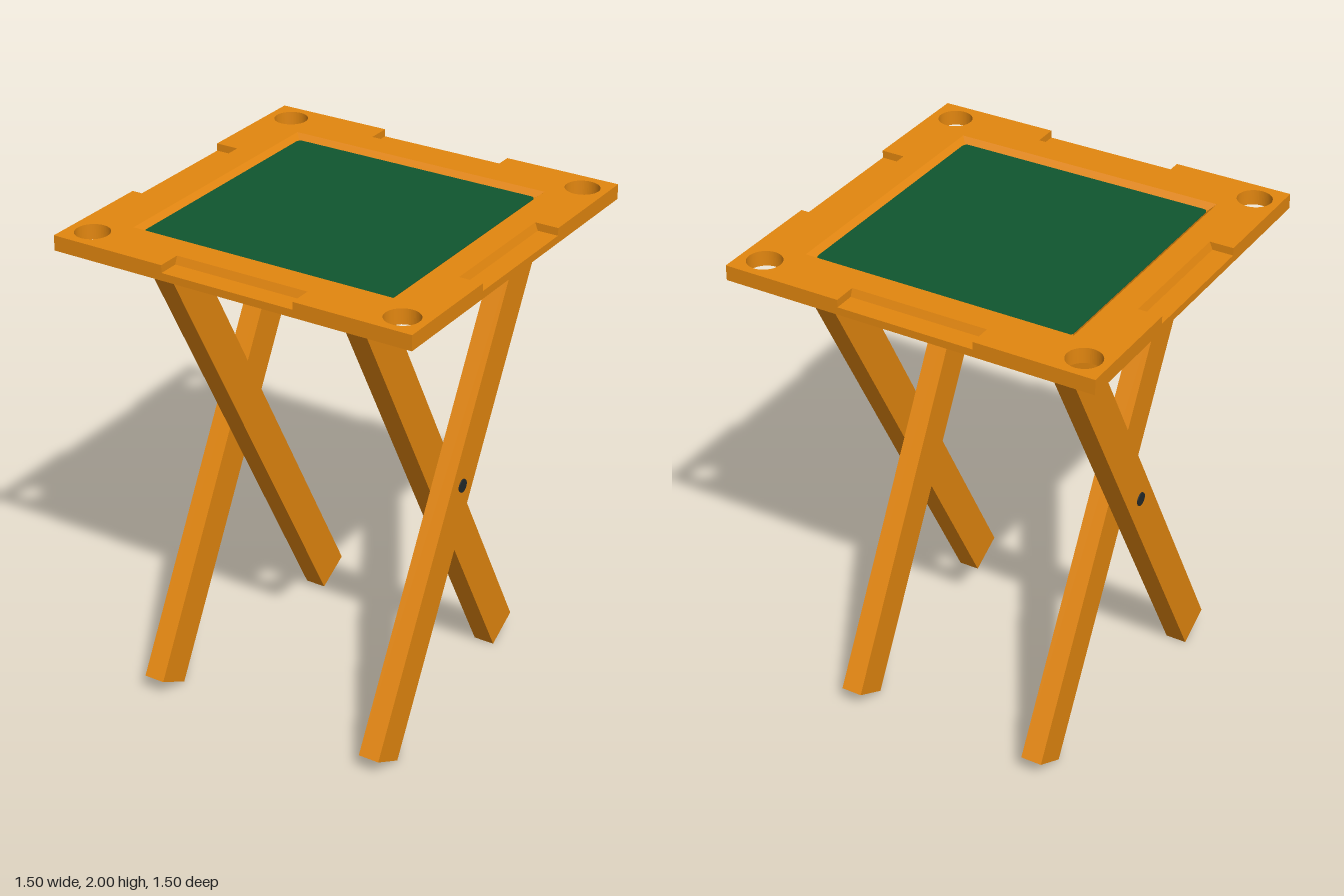
import * as THREE from 'three';

const wood = new THREE.MeshStandardMaterial({ color: 0xe2860f });
const woodThin = new THREE.MeshStandardMaterial({ color: 0xe2860f, side: THREE.DoubleSide });
const felt = new THREE.MeshStandardMaterial({ color: 0x10562f });
const metal = new THREE.MeshStandardMaterial({ color: 0x22282a });

const HALF = 0.75;          // half width of the top
const NOTCH = 0.275;        // half length of an edge notch
const NOTCH_IN = 0.655;     // inner line of an edge notch
const BOTTOM = 1.94, STEP = 1.97, TOP = 2;
const RX = 0.55, RZ = 0.54; // half size of the centre recess

function add(parent, name, geometry, material, x = 0, y = 0, z = 0) {
  const mesh = new THREE.Mesh(geometry, material);
  mesh.name = name;
  mesh.position.set(x, y, z);
  parent.add(mesh);
  return mesh;
}

// Flat board from an outline, lying in the xz plane and rising from its origin
function board(shape, height) {
  const g = new THREE.ExtrudeGeometry(shape, { depth: height, bevelEnabled: false, curveSegments: 32 });
  return g.rotateX(-Math.PI / 2);
}

// Frame outline with the centre opening and four corner cup holes
function frameShape(notched) {
  const side = notched
    ? [[-HALF, -HALF], [-NOTCH, -HALF], [-NOTCH, -NOTCH_IN], [NOTCH, -NOTCH_IN], [NOTCH, -HALF]]
    : [[-HALF, -HALF]];
  const points = [];
  for (let i = 0; i < 4; i++) {
    for (const [x, y] of side) {
      points.push(new THREE.Vector2(x, y).rotateAround(new THREE.Vector2(), i * Math.PI / 2));
    }
  }
  const shape = new THREE.Shape(points);
  shape.holes.push(new THREE.Path([[-RX, -RZ], [-RX, RZ], [RX, RZ], [RX, -RZ]].map(p => new THREE.Vector2(...p))));
  for (const x of [-1, 1]) for (const y of [-1, 1]) {
    shape.holes.push(new THREE.Path().absarc(x * 0.652, y * 0.65, 0.067, 0, Math.PI * 2, true));
  }
  return shape;
}

function roundedRect(a, b, r) {
  const s = new THREE.Shape();
  s.absarc(a - r, b - r, r, 0, Math.PI / 2);
  s.absarc(-a + r, b - r, r, Math.PI / 2, Math.PI);
  s.absarc(-a + r, -b + r, r, Math.PI, Math.PI * 1.5);
  s.absarc(a - r, -b + r, r, Math.PI * 1.5, Math.PI * 2);
  return s;
}

function createTableTop() {
  const top = new THREE.Group();
  top.name = 'tableTop';
  add(top, 'lowerFrame', board(frameShape(false), STEP - BOTTOM), wood, 0, BOTTOM);
  add(top, 'upperFrame', board(frameShape(true), TOP - STEP), wood, 0, STEP);

  // Slanted inner face of each edge notch
  const wedge = new THREE.Shape([[0, 0], [0.012, 0], [0, TOP - STEP]].map(p => new THREE.Vector2(...p)));
  for (let i = 0; i < 4; i++) {
    const g = new THREE.ExtrudeGeometry(wedge, { depth: NOTCH * 2, bevelEnabled: false });
    g.translate(NOTCH_IN, STEP, -NOTCH).rotateY(i * Math.PI / 2);
    add(top, 'notchSlope', g, wood);
  }

  // Recessed centre panel, its slanted rim and the felt
  add(top, 'centrePanel', new THREE.BoxGeometry(RX * 2, 0.024, RZ * 2), wood, 0, 1.967);
  const rim = new THREE.CylinderGeometry(RX * Math.SQRT2, 0.527 * Math.SQRT2, 0.021, 4, 1, true).toNonIndexed();
  rim.rotateY(Math.PI / 4).scale(1, 1, RZ / RX);
  rim.computeVertexNormals();
  add(top, 'recessRim', rim, woodThin, 0, 1.9895);
  add(top, 'felt', board(roundedRect(0.527, 0.515, 0.02), 0.003), felt, 0, 1.978);
  return top;
}

function createLegs() {
  const legs = new THREE.Group();
  legs.name = 'legs';
  legs.position.x = -0.0075;
  const tilt = Math.atan2(1.04, 1.9);
  for (const s of [-1, 1]) {
    // Crossed pair: the outer leg stands forward, the inner leg backward
    const pair = [['outerLeg', 0.499, -tilt], ['innerLeg', 0.4115, tilt]];
    for (const [name, x, angle] of pair) {
      const leg = add(legs, name, new THREE.BoxGeometry(0.0865, 2.166, 0.159), wood, s * x, 0.99, 0);
      leg.rotation.x = angle;
    }
    // Pivot pin through the crossing
    const pin = add(legs, 'pivotPin', new THREE.CylinderGeometry(0.027, 0.027, 0.146, 24), metal, s * 0.474, 0.995, 0);
    pin.rotation.z = Math.PI / 2;
  }
  return legs;
}

export function createModel() {
  const model = new THREE.Group();
  model.name = 'foldingTable';
  model.add(createTableTop(), createLegs());
  return model;
}
